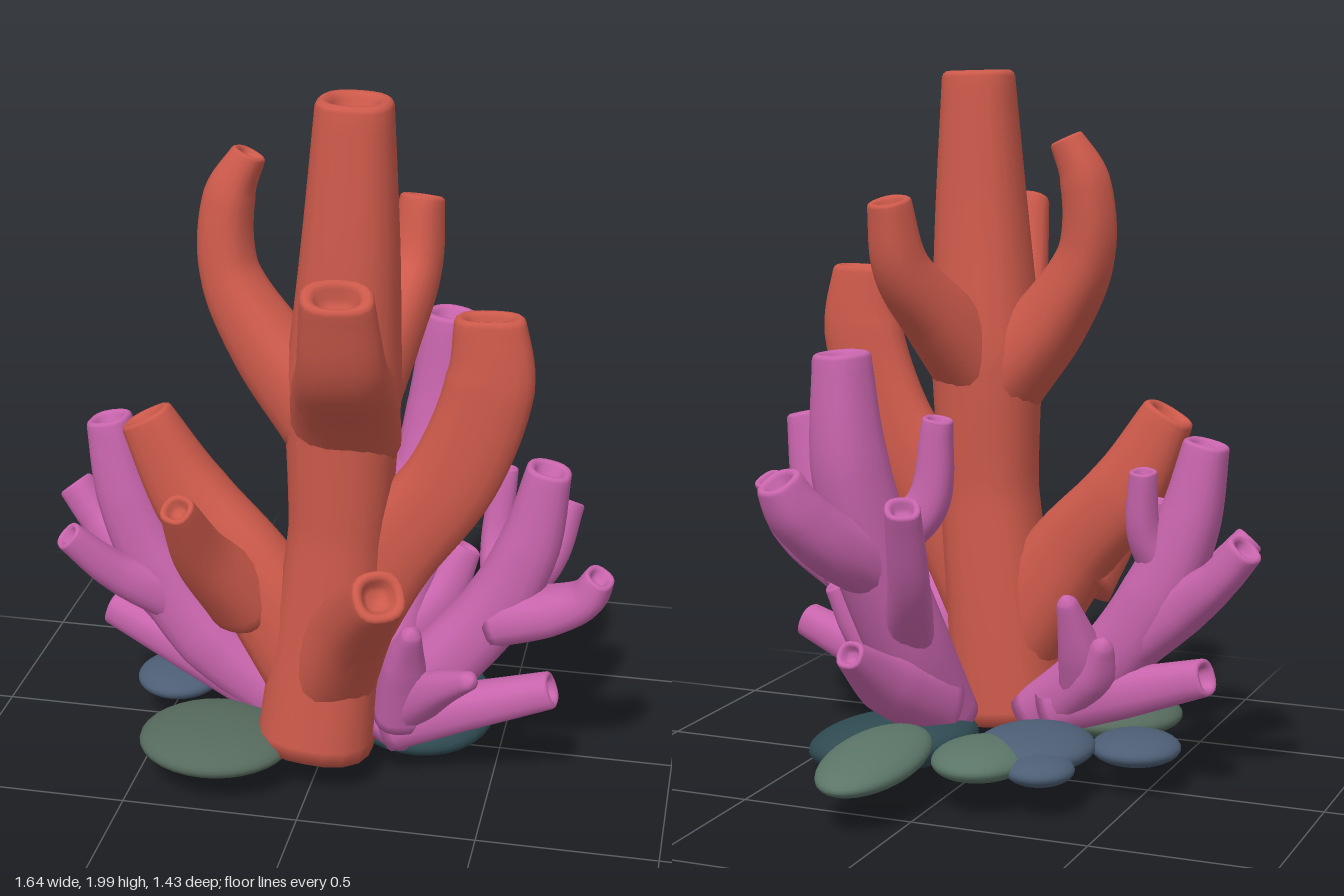
import * as THREE from 'three';

const RED = 0xcd5a4b, PINK = 0xc965ad;
const SIDES = 20;
// end profiles: [radius factor, offset along the tip in radii]
const CUP = [[0.96, 0.1], [0.86, 0.17], [0.72, 0.15], [0.6, 0.0], [0.52, -0.3], [0.35, -0.5], [0, -0.55]];
const POINT = [[0.85, 0.3], [0.55, 0.65], [0.25, 0.85], [0, 0.9]];

// Tapered, softly squared branch through [x, y, z, radius] points.
// scale stretches its cross-section along the world axes.
function branch(pts, { end = CUP, scale = [1, 1, 1] } = {}) {
  const curve = new THREE.CatmullRomCurve3(pts.map(p => new THREE.Vector3(p[0], p[1], p[2])));
  const first = pts[0], last = pts[pts.length - 1];
  const ref = new THREE.Vector3(first[2] - last[2], 0, last[0] - first[0]).normalize();
  const stretch = new THREE.Vector3(...scale);
  const steps = (pts.length - 1) * 8;
  const pos = [], idx = [];

  const ring = (t, r, shift) => {
    const tan = curve.getTangent(t);
    const u = ref.clone().addScaledVector(tan, -ref.dot(tan)).normalize();
    const v = tan.clone().cross(u);
    const c = curve.getPoint(t).addScaledVector(tan, shift);
    for (let i = 0; i < SIDES; i++) {
      const a = (i / SIDES) * Math.PI * 2, co = Math.cos(a), si = Math.sin(a);
      const k = r / Math.pow(Math.abs(co) ** 2.6 + Math.abs(si) ** 2.6, 1 / 2.6);
      const o = u.clone().multiplyScalar(co * k).addScaledVector(v, si * k).multiply(stretch).add(c);
      pos.push(o.x, o.y, o.z);
    }
  };

  ring(0, 0, 0);
  for (let s = 0; s <= steps; s++) {
    const f = (s / steps) * (pts.length - 1);
    const i = Math.min(Math.floor(f), pts.length - 2);
    ring(s / steps, THREE.MathUtils.lerp(pts[i][3], pts[i + 1][3], f - i), 0);
  }
  for (const [k, d] of end) ring(1, last[3] * k, last[3] * d);

  const rings = pos.length / 3 / SIDES;
  for (let j = 0; j < rings - 1; j++) {
    for (let i = 0; i < SIDES; i++) {
      const a = j * SIDES + i, b = j * SIDES + (i + 1) % SIDES;
      idx.push(a, b, b + SIDES, a, b + SIDES, a + SIDES);
    }
  }
  const g = new THREE.BufferGeometry();
  g.setAttribute('position', new THREE.Float32BufferAttribute(pos, 3));
  g.setIndex(idx);
  g.computeVertexNormals();
  return g;
}

function coral(name, color, parts) {
  const group = new THREE.Group();
  group.name = name;
  const material = new THREE.MeshStandardMaterial({ color });
  for (const [part, pts, options] of parts) {
    const mesh = new THREE.Mesh(branch(pts, options), material);
    mesh.name = part;
    group.add(mesh);
  }
  return group;
}

export function createModel() {
  const model = new THREE.Group();
  model.name = 'coralReef';

  // tall coral with a thick trunk
  model.add(coral('tallCoral', RED, [
    ['trunk', [[0, 0.13, 0.23, 0.165], [0.03, 0.45, 0.22, 0.15], [0.065, 0.8, 0.22, 0.137], [0.075, 1.2, 0.22, 0.155],
      [0.095, 1.6, 0.23, 0.128], [0.105, 1.985, 0.23, 0.1]]],
    ['frontArm', [[0.08, 1.08, 0.22, 0.14], [0.11, 1.25, 0.38, 0.13], [0.14, 1.4, 0.57, 0.105], [0.145, 1.61, 0.655, 0.085]],
      { scale: [1.1, 0.8, 0.75] }],
    ['backArm', [[0.08, 1.12, 0.22, 0.12], [0.15, 1.3, 0.06, 0.1], [0.21, 1.46, -0.08, 0.075], [0.225, 1.64, -0.125, 0.058]]],
    ['rightUpperArm', [[0.03, 1.13, 0.22, 0.13], [-0.14, 1.31, 0.19, 0.1], [-0.25, 1.5, 0.16, 0.075], [-0.25, 1.7, 0.14, 0.065],
      [-0.2, 1.81, 0.13, 0.045]]],
    ['leftArm', [[0.05, 0.42, 0.22, 0.13], [0.2, 0.72, 0.22, 0.13], [0.38, 0.98, 0.22, 0.125], [0.47, 1.25, 0.22, 0.12],
      [0.465, 1.42, 0.22, 0.095]], { scale: [1, 1, 0.6] }],
    ['rightLowerArm', [[0, 0.36, 0.22, 0.15], [-0.2, 0.64, 0.2, 0.125], [-0.37, 0.83, 0.17, 0.11], [-0.49, 1.05, 0.17, 0.075]],
      { scale: [1, 1, 0.8] }],
    ['lowerFrontArm', [[0.04, 0.36, 0.24, 0.13], [0.14, 0.58, 0.4, 0.1], [0.25, 0.8, 0.63, 0.07]]],
    ['frontTwig', [[-0.2, 0.55, 0.22, 0.11], [-0.29, 0.74, 0.36, 0.075], [-0.32, 0.93, 0.49, 0.045]]],
  ]));

  // bushy coral on the model's right
  model.add(coral('rightCoral', PINK, [
    ['stem', [[-0.1, 0.16, 0.12, 0.07], [-0.34, 0.34, 0.08, 0.1], [-0.5, 0.56, 0.06, 0.1], [-0.59, 0.78, 0.06, 0.085],
      [-0.635, 0.99, 0.06, 0.062]]],
    ['outerArm', [[-0.42, 0.42, 0.07, 0.09], [-0.58, 0.54, 0.03, 0.075], [-0.7, 0.64, -0.02, 0.055], [-0.775, 0.73, -0.04, 0.05]]],
    ['frontArm', [[-0.46, 0.47, 0.08, 0.08], [-0.6, 0.57, 0.17, 0.055], [-0.71, 0.7, 0.24, 0.042]]],
    ['lowArm', [[-0.18, 0.2, 0.1, 0.08], [-0.42, 0.28, 0.04, 0.07], [-0.66, 0.36, -0.01, 0.052]]],
    ['backTwig', [[-0.53, 0.62, 0.06, 0.06], [-0.48, 0.75, 0.0, 0.045], [-0.485, 0.92, -0.03, 0.036]]],
    ['innerTwig', [[-0.54, 0.6, 0.06, 0.06], [-0.49, 0.7, 0.05, 0.04], [-0.5, 0.83, 0.04, 0.032]]],
    ['innerBlade', [[-0.3, 0.25, 0.08, 0.085], [-0.3, 0.4, -0.01, 0.06], [-0.285, 0.55, -0.08, 0.028]], { end: POINT }],
    ['lowBlade', [[-0.22, 0.22, 0.1, 0.08], [-0.34, 0.33, 0.0, 0.06], [-0.38, 0.43, -0.05, 0.03]], { end: POINT }],
  ]));

  // bushy coral on the model's left
  model.add(coral('leftCoral', PINK, [
    ['stem', [[0.2, 0.14, 0.18, 0.07], [0.32, 0.34, 0.18, 0.1], [0.49, 0.56, 0.17, 0.095], [0.585, 0.77, 0.17, 0.085],
      [0.63, 0.99, 0.175, 0.062]]],
    ['outerArm', [[0.5, 0.54, 0.17, 0.085], [0.66, 0.6, 0.22, 0.07], [0.75, 0.66, 0.25, 0.055], [0.785, 0.73, 0.265, 0.042]],
      { scale: [1, 0.9, 1.2] }],
    ['lowArm', [[0.2, 0.18, 0.18, 0.085], [0.42, 0.26, 0.2, 0.065], [0.66, 0.35, 0.22, 0.05]]],
    ['innerTwig', [[0.52, 0.56, 0.16, 0.06], [0.48, 0.7, 0.06, 0.045], [0.495, 0.92, 0.02, 0.035]]],
    ['backTwig', [[0.55, 0.62, 0.16, 0.06], [0.63, 0.68, 0.06, 0.045], [0.67, 0.82, -0.01, 0.042]]],
    ['frontTwig', [[0.26, 0.26, 0.2, 0.08], [0.37, 0.38, 0.32, 0.05], [0.46, 0.46, 0.41, 0.026]], { end: POINT }],
    ['frontBlade', [[0.24, 0.22, 0.2, 0.08], [0.26, 0.42, 0.28, 0.06], [0.29, 0.55, 0.35, 0.028]], { end: POINT }],
  ]));

  // taller bushy coral at the back
  model.add(coral('backCoral', PINK, [
    ['stem', [[0.13, 0.15, 0.02, 0.1], [0.17, 0.4, -0.13, 0.11], [0.23, 0.7, -0.25, 0.11], [0.265, 0.95, -0.31, 0.1],
      [0.28, 1.235, -0.32, 0.075]]],
    ['outerArm', [[0.22, 0.64, -0.22, 0.1], [0.28, 0.74, -0.41, 0.085], [0.33, 0.84, -0.51, 0.075], [0.355, 0.92, -0.55, 0.06]]],
    ['rightTwig', [[0.22, 0.7, -0.24, 0.08], [0.08, 0.82, -0.21, 0.06], [0.04, 1.06, -0.22, 0.042]]],
    ['leftTwig', [[0.24, 0.68, -0.24, 0.08], [0.34, 0.8, -0.18, 0.055], [0.37, 1.0, -0.17, 0.042]]],
    ['backTwig', [[0.17, 0.42, -0.14, 0.08], [0.07, 0.62, -0.35, 0.06], [0.03, 0.86, -0.48, 0.05]],
      { scale: [1, 1, 0.8] }],
    ['lowArm', [[0.13, 0.22, -0.05, 0.1], [0.17, 0.32, -0.27, 0.08], [0.19, 0.45, -0.47, 0.04]]],
    ['lowLeftTwig', [[0.16, 0.3, -0.08, 0.09], [0.29, 0.43, -0.14, 0.07], [0.36, 0.57, -0.18, 0.045]]],
  ]));

  // flat pebbles: position, radii, tilt, color
  const pebbles = new THREE.Group();
  pebbles.name = 'pebbles';
  const GREEN = 0x5b7568, BLUE = 0x4d5e75, TEAL = 0x2f4b52;
  [
    [[0.235, 0.105, -0.09], [0.24, 0.08, 0.27], [0.06, 0, -0.13], TEAL],
    [[0.125, 0.165, -0.46], [0.13, 0.052, 0.255], [-0.07, 0, 0], GREEN],
    [[-0.12, 0.15, -0.29], [0.135, 0.05, 0.17], [0, 0, 0], GREEN],
    [[-0.22, 0.155, -0.15], [0.165, 0.055, 0.19], [0, 0, 0], BLUE],
    [[-0.29, 0.14, -0.3], [0.095, 0.04, 0.1], [0, 0, 0], BLUE],
    [[-0.47, 0.145, -0.02], [0.125, 0.045, 0.13], [0, 0, 0], BLUE],
    [[-0.275, 0.14, 0.31], [0.22, 0.058, 0.2], [0, 0, 0], 0x566a5d],
  ].forEach(([p, r, tilt, color]) => {
    const pebble = new THREE.Mesh(new THREE.SphereGeometry(1, 32, 20), new THREE.MeshStandardMaterial({ color }));
    pebble.name = 'pebble';
    pebble.position.set(...p);
    pebble.scale.set(...r);
    pebble.rotation.set(...tilt);
    pebbles.add(pebble);
  });
  model.add(pebbles);

  return model;
}
